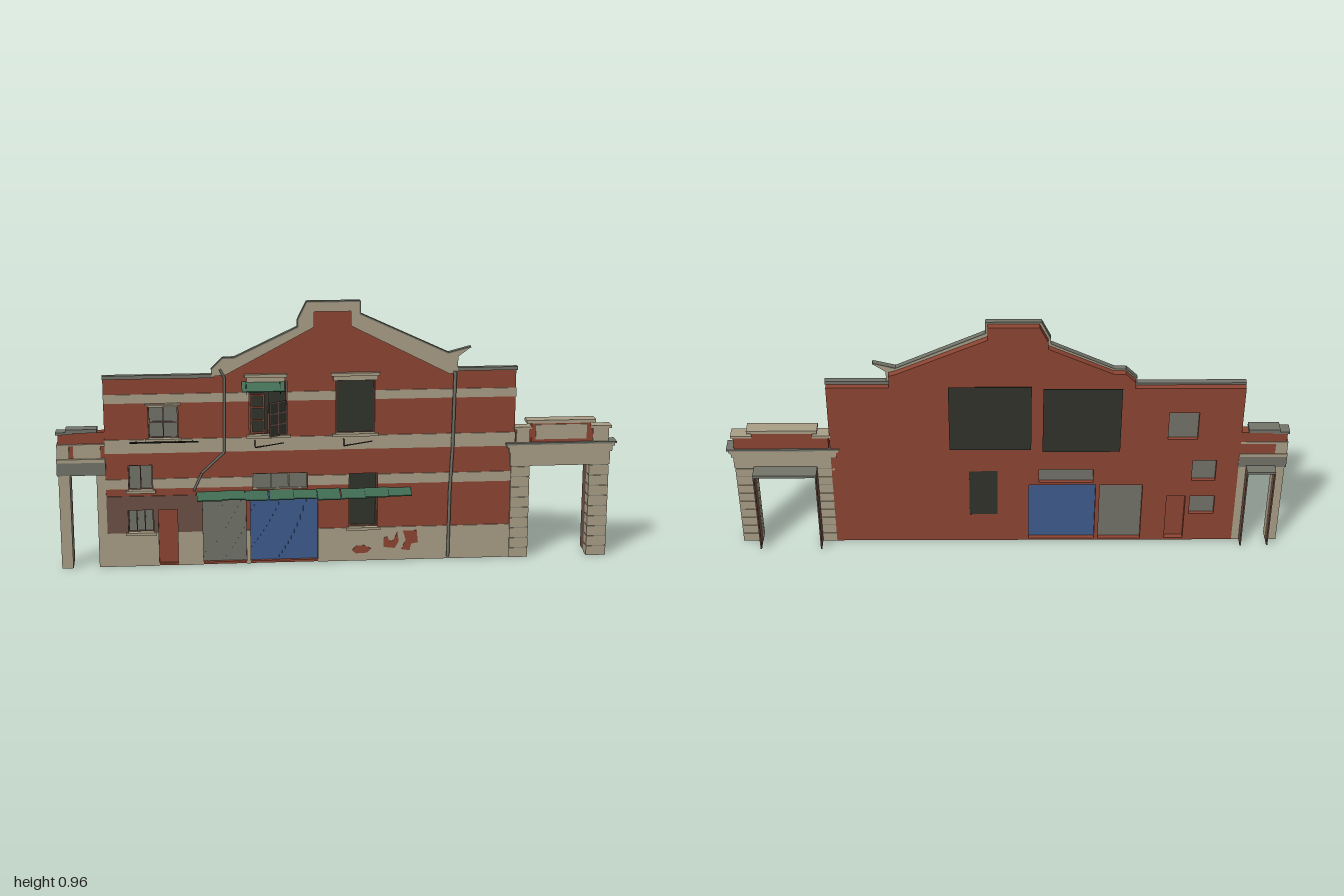
import * as THREE from 'three';

export function createModel() {
  const root = new THREE.Group();
  const mat = (name, color) => {
    const m = new THREE.MeshStandardMaterial({ color, side: THREE.DoubleSide });
    m.name = name;
    return m;
  };
  const brick = mat('brick', 0x8e4533), cream = mat('cream stone', 0xaaa087);
  const grey = mat('weathered grey', 0x73746a), dark = mat('dark interior', 0x31332b);
  const blue = mat('blue shutter', 0x3f5d8e), green = mat('green sheet', 0x3f6b52);
  const brown = mat('brown render', 0x6c5045), iron = mat('iron', 0x1d1e1b);

  const add = (name, geo, m, parent = root) => {
    const mesh = new THREE.Mesh(geo, m);
    mesh.name = name;
    parent.add(mesh);
    return mesh;
  };
  const box = (name, m, x0, x1, y0, y1, z0, z1, parent = root) => {
    const mesh = add(name, new THREE.BoxGeometry(x1 - x0, y1 - y0, z1 - z0), m, parent);
    mesh.position.set((x0 + x1) / 2, (y0 + y1) / 2, (z0 + z1) / 2);
    return mesh;
  };
  const rect = (x0, x1, y0, y1) => [[x0, y0], [x1, y0], [x1, y1], [x0, y1]];
  const vecs = (pts) => pts.map((p) => new THREE.Vector2(...p));
  const plate = (name, m, pts, z0, z1, holes = []) => {
    const s = new THREE.Shape(vecs(pts));
    holes.forEach((h) => s.holes.push(new THREE.Path(vecs(rect(...h)))));
    const geo = new THREE.ExtrudeGeometry(s, { depth: z1 - z0, bevelEnabled: false });
    return add(name, geo.translate(0, 0, z0), m);
  };
  // Straight round rods joining a list of points
  const rod = (name, m, pts, r, parent = root) => {
    for (let i = 1; i < pts.length; i++) {
      const a = new THREE.Vector3(...pts[i - 1]), b = new THREE.Vector3(...pts[i]);
      const mesh = add(name, new THREE.CylinderGeometry(r, r, a.distanceTo(b), 6), m, parent);
      mesh.position.copy(a).lerp(b, 0.5);
      mesh.quaternion.setFromUnitVectors(new THREE.Vector3(0, 1, 0), b.sub(a).normalize());
    }
  };

  // Openings as x0, x1, y0, y1
  const o = {
    greyDoor: [-0.49, -0.335, 0.008, 0.262], blueDoor: [-0.32, -0.078, 0.008, 0.264],
    transom: [-0.31, -0.115, 0.274, 0.335], darkDoor: [0.035, 0.137, 0.125, 0.328],
    upperRight: [-0.013, 0.126, 0.476, 0.672], upperLeft: [-0.32, -0.185, 0.476, 0.672],
    leftWindow: [-0.675, -0.57, 0.471, 0.588], smallWindow: [-0.75, -0.665, 0.282, 0.375],
    lowWindow: [-0.755, -0.665, 0.125, 0.21], redDoor: [-0.648, -0.58, 0.008, 0.21],
  };
  const holes = Object.values(o);

  // Main brick wall
  plate('wall', brick, [
    [-0.83, 0], [0.63, 0], [0.63, 0.70], [0.41, 0.70], [0.41, 0.75], [0.385, 0.757],
    [0.066, 0.90], [0.066, 0.95], [-0.11, 0.95], [-0.14, 0.89], [-0.14, 0.862],
    [-0.37, 0.755], [-0.41, 0.755], [-0.445, 0.72], [-0.445, 0.695], [-0.83, 0.695],
  ], -0.034, 0, holes);

  // Stepped gable coping
  plate('gableCoping', cream, [
    [-0.45, 0.695], [-0.45, 0.72], [-0.41, 0.76], [-0.37, 0.76], [-0.147, 0.866], [-0.147, 0.89],
    [-0.115, 0.953], [0.072, 0.953], [0.072, 0.91], [0.385, 0.764], [0.465, 0.785], [0.42, 0.752],
    [0.42, 0.69], [0.39, 0.69], [0.04, 0.868], [0.04, 0.92], [-0.09, 0.92], [-0.09, 0.865],
    [-0.40, 0.70],
  ], -0.010, 0.009);
  // Weathered top edges of the coping and parapets
  const edge = [[-0.45, 0.72], [-0.41, 0.76], [-0.37, 0.76], [-0.147, 0.866], [-0.147, 0.89],
    [-0.115, 0.955], [0.072, 0.955], [0.072, 0.91], [0.385, 0.765], [0.465, 0.786]];
  for (let i = 1; i < edge.length; i++) {
    const [ax, ay] = edge[i - 1], [bx, by] = edge[i];
    const m = add('copingEdge', new THREE.BoxGeometry(Math.hypot(bx - ax, by - ay), 0.005, 0.02), grey);
    m.position.set((ax + bx) / 2, (ay + by) / 2, 0);
    m.rotation.z = Math.atan2(by - ay, bx - ax);
  }
  box('leftParapetCap', grey, -0.832, -0.44, 0.69, 0.703, -0.012, 0.009);
  box('rightParapetCap', grey, 0.41, 0.634, 0.7, 0.712, -0.012, 0.009);

  // Painted bands, cut around the openings
  const band = (name, m, x0, x1, y0, y1) => {
    let x = x0;
    holes.filter((h) => h[2] < y1 - 0.001 && h[3] > y0 + 0.001 && h[1] > x0 && h[0] < x1)
      .sort((a, b) => a[0] - b[0])
      .forEach((h) => {
        if (h[0] > x) box(name, m, x, h[0], y0, y1, -0.001, 0.004);
        x = Math.max(x, h[1]);
      });
    if (x < x1) box(name, m, x, x1, y0, y1, -0.001, 0.004);
  };
  band('plinth', cream, -0.83, 0.632, 0, 0.125);
  band('lowerBand', cream, -0.83, 0.632, 0.289, 0.325);
  band('middleBand', cream, -0.83, 0.632, 0.42, 0.47);
  band('upperBand', cream, -0.83, 0.632, 0.602, 0.634);
  band('darkRender', brown, -0.83, -0.49, 0.125, 0.21);
  band('darkRender', brown, -0.83, -0.49, 0.21, 0.262);

  // Bare brick patches on the plinth
  plate('brickPatch', brick, [[0.045, 0.04], [0.06, 0.028], [0.10, 0.03], [0.115, 0.045], [0.09, 0.058], [0.06, 0.057]], 0.004, 0.006);
  plate('brickPatch', brick, [[0.16, 0.05], [0.20, 0.045], [0.215, 0.07], [0.21, 0.105], [0.195, 0.075], [0.18, 0.072], [0.175, 0.09], [0.16, 0.085]], 0.004, 0.006);
  plate('brickPatch', brick, [[0.225, 0.04], [0.255, 0.035], [0.26, 0.06], [0.285, 0.065], [0.28, 0.11], [0.23, 0.11], [0.24, 0.075]], 0.004, 0.006);

  // Windows: glass with a frame and glazing bars
  const frame = (name, m, [x0, x1, y0, y1], z, cols, rows, w = 0.006, parent = root) => {
    for (let i = 0; i <= cols; i++) {
      const x = x0 + w / 2 + (x1 - x0 - w) * i / cols;
      box(name, m, x - w / 2, x + w / 2, y0, y1, z, z + 0.006, parent);
    }
    for (let j = 0; j <= rows; j++) {
      const y = y0 + w / 2 + (y1 - y0 - w) * j / rows;
      box(name, m, x0, x1, y - w / 2, y + w / 2, z, z + 0.0055, parent);
    }
  };
  const pane = (name, m, [x0, x1, y0, y1], z = -0.02) => box(name, m, x0, x1, y0, y1, z, z + 0.004);
  [['leftWindow', 2, 2], ['smallWindow', 2, 1], ['lowWindow', 3, 1], ['transom', 3, 1]].forEach(([k, c, r]) => {
    pane(k + 'Glass', grey, o[k]);
    frame(k + 'Frame', k === 'transom' ? cream : brown, o[k], -0.016, c, r, 0.004);
  });
  pane('redDoor', brick, o.redDoor, -0.014);
  pane('darkDoor', dark, o.darkDoor, -0.032);
  frame('darkDoorFrame', brown, o.darkDoor, -0.026, 1, 1, 0.005);
  frame('upperRightFrame', brown, o.upperRight, -0.016, 1, 1, 0.005);
  frame('upperLeftFrame', brown, o.upperLeft, -0.016, 2, 1, 0.005);

  // Ribbed shutters
  [['greyDoor', grey, 14], ['blueDoor', blue, 22]].forEach(([k, m, n]) => {
    const [x0, x1, y0, y1] = o[k];
    pane(k, m, o[k], -0.018);
    for (let i = 0; i < n; i++) {
      const x = x0 + (x1 - x0) * (i + 0.5) / n;
      box(k + 'Rib', m, x - 0.002, x + 0.002, y0, y1, -0.015, -0.012);
    }
  });

  // Dark room backings behind the upper windows
  box('roomBacking', dark, -0.40, -0.125, 0.435, 0.71, -0.058, -0.056);
  box('roomBacking', dark, -0.085, 0.205, 0.435, 0.71, -0.046, -0.044);

  // Stone hoods and sills
  const hood = (x0, x1, y, h) => {
    box('hood', cream, x0 + 0.008, x1 - 0.008, y, y + h * 0.6, -0.005, 0.009);
    box('hoodTop', cream, x0, x1, y + h * 0.6, y + h, -0.005, 0.015);
  };
  hood(-0.335, -0.185, 0.672, 0.028);
  hood(-0.03, 0.143, 0.672, 0.028);
  hood(-0.685, -0.56, 0.588, 0.012);
  [[-0.33, -0.175, 0.468], [-0.025, 0.138, 0.468], [-0.685, -0.56, 0.462], [0.025, 0.147, 0.117], [-0.765, -0.655, 0.117], [-0.76, -0.655, 0.274]]
    .forEach(([x0, x1, y]) => box('sill', cream, x0, x1, y, y + 0.01, -0.01, 0.012));

  // Casements: one shut, one swung open
  const shut = [-0.315, -0.265, 0.482, 0.625];
  frame('shutCasement', brick, shut, -0.01, 1, 3);
  const casement = new THREE.Group();
  casement.name = 'openCasement';
  casement.position.set(-0.185, 0.48, 0.008);
  casement.rotation.y = Math.PI - 0.55 + 1.1;
  casement.scale.z = 0.6;
  box('casementGlass', dark, 0, 0.075, 0, 0.125, 0.001, 0.004, casement);
  frame('casementFrame', brown, [0, 0.075, 0, 0.125], 0, 2, 3, 0.004, casement);
  root.add(casement);

  // Green awnings
  const sheet = (x0, x1, y, depth, drop) => {
    const m = add('awningSheet', new THREE.BoxGeometry(x1 - x0, 0.004, Math.hypot(depth, drop)), green);
    m.position.set((x0 + x1) / 2, y - drop / 2, 0.002 + depth / 2);
    m.rotation.x = Math.atan2(drop, depth);
  };
  const depths = [0.062, 0.058, 0.068, 0.072, 0.058, 0.084, 0.072, 0.066, 0.052];
  depths.forEach((d, i) => {
    const x = -0.51 + i * 0.0855;
    sheet(x, x + 0.088 - (i % 3) * 0.003, 0.271 + (i % 2) * 0.002, d, 0.014);
  });
  sheet(-0.345, -0.195, 0.672, 0.045, 0.026);
  [-0.33, -0.21].forEach((x) => rod('awningStrut', iron, [[x, 0.675, 0.004], [x, 0.648, 0.044], [x, 0.636, 0.044]], 0.0015));

  // Iron rails and hooks
  rod('rail', iron, [[-0.74, 0.466, 0.03], [-0.5, 0.466, 0.03]], 0.003);
  [-0.72, -0.64, -0.58, -0.52].forEach((x) => rod('railBracket', iron, [[x, 0.466, 0.035], [x, 0.462, 0.002], [x, 0.45, 0.002]], 0.002));
  [-0.30, 0.015].forEach((x) => rod('hook', iron, [[x, 0.46, 0.004], [x, 0.437, 0.02], [x + 0.1, 0.457, 0.036]], 0.002));

  // Drainpipes
  rod('rightDrainpipe', grey, [[0.41, 0.70, 0.012], [0.405, 0.42, 0.01], [0.397, 0.25, 0.01], [0.394, 0.01, 0.01]], 0.006);
  rod('leftDrainpipe', grey, [[-0.42, 0.72, 0.012], [-0.405, 0.69, 0.01], [-0.41, 0.42, 0.01], [-0.49, 0.345, 0.01], [-0.52, 0.28, 0.01]], 0.0045);

  // Pier of stacked blocks with shadowed joints
  const pier = (x0, x1) => {
    box('pierCore', grey, x0 + 0.002, x1 - 0.002, 0, 0.345, -0.032, 0.008);
    for (let i = 0; i < 9; i++) box('pierBlock', cream, x0, x1, i * 0.0383, i * 0.0383 + 0.0355, -0.034, 0.01);
  };
  // Tunnel lining behind a gateway
  const lining = (x0, x1, z) => {
    box('gateLining', brown, x0 - 0.005, x0, 0.005, 0.345, z, -0.03);
    box('gateLining', brown, x1, x1 + 0.005, 0.005, 0.345, z, -0.03);
    box('gateLiningTop', grey, x0 - 0.005, x1 + 0.005, 0.342, 0.352, z, -0.03);
  };

  // Right gateway
  pier(0.618, 0.686);
  pier(0.903, 0.975);
  lining(0.686, 0.903, -0.088);
  box('gateLintel', cream, 0.615, 0.978, 0.345, 0.395, -0.034, 0.01);
  box('gateFrieze', cream, 0.61, 0.985, 0.395, 0.415, -0.036, 0.013);
  box('gateCornice', cream, 0.602, 0.993, 0.415, 0.425, -0.036, 0.015);
  box('gateCorniceTop', grey, 0.597, 1.0, 0.425, 0.432, -0.038, 0.018);
  box('gateParapet', brick, 0.635, 0.972, 0.432, 0.48, -0.032, 0.004);
  box('gateParapetCentre', brick, 0.69, 0.905, 0.432, 0.502, -0.032, 0.007);
  box('gatePanel', cream, 0.705, 0.89, 0.443, 0.497, 0.006, 0.01);
  box('gateCentreCap', cream, 0.672, 0.922, 0.502, 0.514, -0.036, 0.012);
  [[0.632, 0.685], [0.91, 0.975]].forEach(([x0, x1]) => {
    box('gatePost', cream, x0 + 0.004, x1 - 0.004, 0.432, 0.48, -0.028, 0.009);
    box('gatePostCap', cream, x0 - 0.005, x1 + 0.005, 0.48, 0.49, -0.034, 0.012);
  });

  // Left gateway
  box('leftGatePier', cream, -0.995, -0.955, 0, 0.345, -0.034, 0.008);
  box('leftGatePier', cream, -0.862, -0.83, 0, 0.345, -0.034, 0.004);
  lining(-0.955, -0.862, -0.074);
  box('leftGateLintel', grey, -1.0, -0.828, 0.345, 0.392, -0.036, 0.012);
  box('leftGateCornice', cream, -1.0, -0.83, 0.392, 0.405, -0.036, 0.015);
  box('leftGateParapet', brick, -0.993, -0.83, 0.405, 0.5, -0.032, 0.002);
  box('leftGatePanel', cream, -0.94, -0.845, 0.405, 0.452, 0.001, 0.007);
  box('leftGatePost', cream, -0.998, -0.955, 0.405, 0.45, -0.033, 0.008);
  box('leftGateMoulding', cream, -0.998, -0.83, 0.45, 0.458, -0.034, 0.01);
  box('leftGatePostCap', grey, -1.0, -0.94, 0.494, 0.503, -0.034, 0.01);
  box('leftGateCap', grey, -0.965, -0.855, 0.5, 0.513, -0.036, 0.012);
  return root;
}
